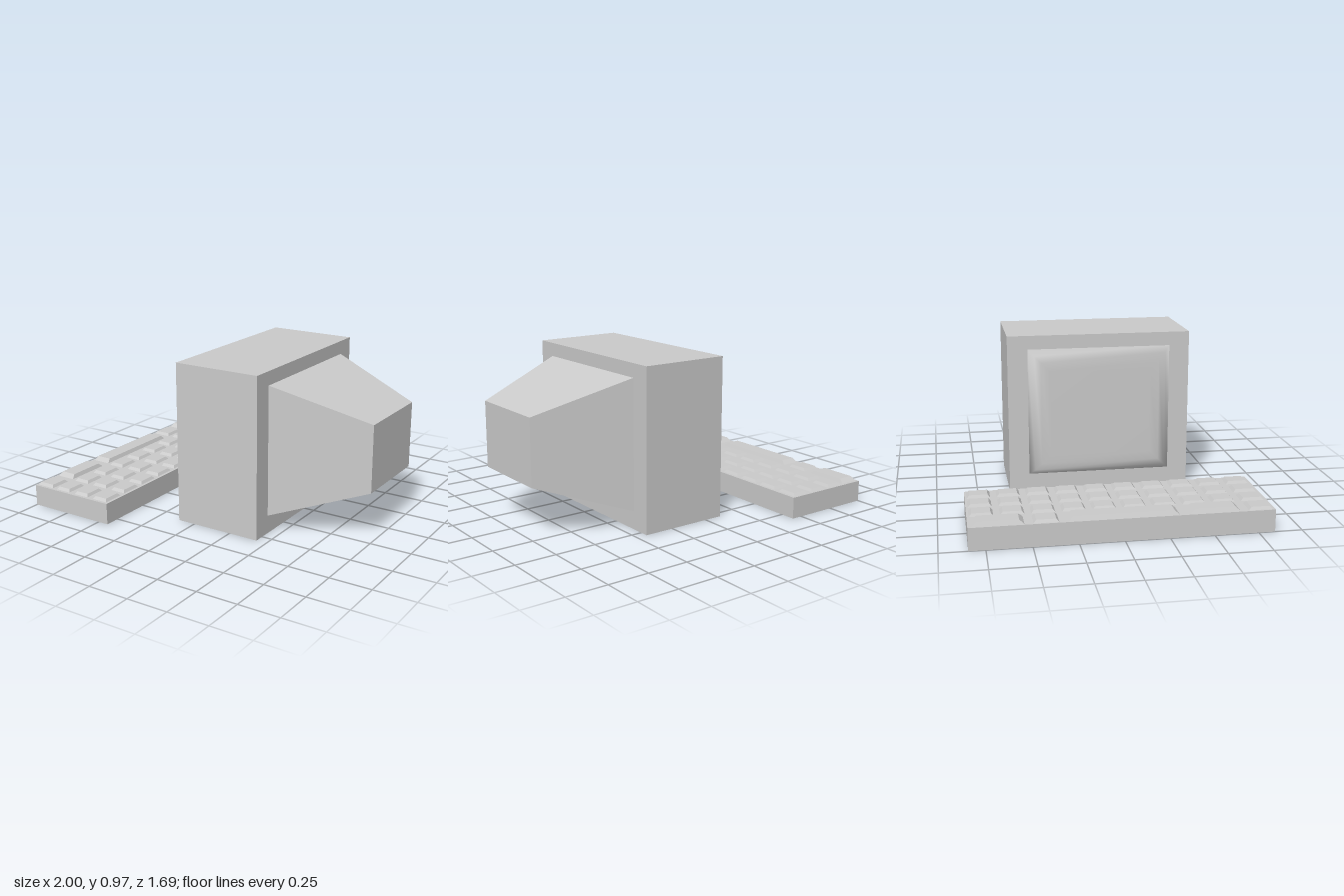
import * as THREE from 'three';
import { mergeVertices, mergeGeometries } from 'three/addons/utils/BufferGeometryUtils.js';

const material = new THREE.MeshStandardMaterial({ color: 0xcccccc, side: THREE.DoubleSide });

// Rectangular rings, counter-clockwise seen from the end the loft grows towards
const ringUp = (y, x0, x1, z0, z1) => [[x0, y, z1], [x1, y, z1], [x1, y, z0], [x0, y, z0]];
const ringLeft = (x, y0, y1, z0, z1) => [[x, y0, z0], [x, y1, z0], [x, y1, z1], [x, y0, z1]];
const ringRight = (x, y0, y1, z0, z1) => [[x, y0, z0], [x, y0, z1], [x, y1, z1], [x, y1, z0]];

// Joins four-cornered rings with quads; sides = 3 leaves the last side open
function loft(rings, { cap = true, sides = 4, smooth = false } = {}) {
  const points = [];
  const quad = (a, b, c, d) => points.push(...a, ...b, ...c, ...a, ...c, ...d);
  for (let r = 0; r + 1 < rings.length; r++) {
    const a = rings[r], b = rings[r + 1];
    for (let i = 0; i < sides; i++) {
      const j = (i + 1) % 4;
      quad(a[i], a[j], b[j], b[i]);
    }
  }
  if (cap) quad(...rings[rings.length - 1]);
  let geometry = new THREE.BufferGeometry();
  geometry.setAttribute('position', new THREE.Float32BufferAttribute(points, 3));
  if (smooth) geometry = mergeVertices(geometry);
  geometry.computeVertexNormals();
  return geometry;
}

// Flat rectangle with rectangular openings, each given as [x0, x1, y0, y1]
function panel(outer, holes) {
  const corners = ([x0, x1, y0, y1]) =>
    [[x0, y0], [x1, y0], [x1, y1], [x0, y1]].map(p => new THREE.Vector2(...p));
  const shape = new THREE.Shape(corners(outer));
  holes.forEach(h => shape.holes.push(new THREE.Path(corners(h).reverse())));
  return new THREE.ShapeGeometry(shape);
}

function addPart(group, name, geometry) {
  const mesh = new THREE.Mesh(geometry, material);
  mesh.name = name;
  group.add(mesh);
  return mesh;
}

function createMonitor() {
  const monitor = new THREE.Group();
  monitor.name = 'monitor';
  const front = -0.11, back = 0.435, height = 0.973, half = 0.557;
  const opening = [-0.435, 0.435, 0.11, 0.89];

  // Case: open underneath, with an opening for the screen and the rear housing
  addPart(monitor, 'caseSides', loft(
    [front, back].map(x => ringLeft(x, 0, height, -half, half)), { cap: false, sides: 3 }));
  const face = () => panel([-half, half, 0, height], [opening]);
  addPart(monitor, 'screenBezel', face().rotateY(-Math.PI / 2).translate(front, 0, 0));
  addPart(monitor, 'casebackPanel', face().rotateY(Math.PI / 2).translate(back, 0, 0));

  // Bulging glass, smoothly rounded at its border
  const profile = [[front, 0], [-0.15, 0.035], [-0.16, 0.075], [-0.163, 0.13]];
  addPart(monitor, 'screen', loft(profile.map(([x, inset]) =>
    ringRight(x, 0.11 + inset, 0.89 - inset, -0.435 + inset, 0.435 - inset)), { smooth: true }));

  // Tapering tube housing
  addPart(monitor, 'rearHousing', loft([
    ringLeft(back, 0.11, 0.89, -0.435, 0.435),
    ringLeft(1, 0.31, 0.71, -0.26, 0.26)]));
  monitor.position.z = 0.005;
  return monitor;
}

function createKeyboard() {
  const keyboard = new THREE.Group();
  keyboard.name = 'keyboard';
  const deck = 0.13, x0 = -1, x1 = -0.432, half = 0.843;

  // Three columns of equal keys, then the column of long keys
  const keys = [];
  for (let column = 0; column < 3; column++) {
    for (let row = 0; row < 10; row++) {
      const x = -0.842 + 0.1445 * column, z = -0.831 + 0.1692 * row;
      keys.push({ x0: x, x1: x + 0.102, z0: z, z1: z + 0.133, top: 0.146, rear: 0.016, near: 0.014 });
    }
  }
  for (const [z0, z1] of [[-0.82, -0.543], [-0.495, -0.357], [-0.307, 0.302], [0.361, 0.644], [0.692, 0.826]]) {
    const long = z1 - z0 > 0.2;
    keys.push({ x0: -0.99, x1: -0.873, z0, z1, top: long ? 0.153 : 0.146,
      rear: long ? 0.028 : 0.016, near: long ? 0.026 : 0.014 });
  }

  // Hollow tray, open underneath
  addPart(keyboard, 'keyboardWalls', loft(
    [0, deck].map(y => ringUp(y, x0, x1, -half, half)), { cap: false }));
  addPart(keyboard, 'keyboardDeck', panel([x0, x1, -half, half],
    keys.map(k => [k.x0, k.x1, -k.z1, -k.z0])).rotateX(-Math.PI / 2).translate(0, deck, 0));

  // Hollow bevelled key caps
  addPart(keyboard, 'keys', mergeGeometries(keys.map(k => loft([
    ringUp(deck, k.x0, k.x1, k.z0, k.z1),
    ringUp(k.top, k.x0 + 0.011, k.x1 - 0.011, k.z0 + k.rear, k.z1 - k.near)]))));
  return keyboard;
}

export function createModel() {
  const model = new THREE.Group();
  model.name = 'computerTerminal';
  model.add(createMonitor(), createKeyboard());
  return model;
}
